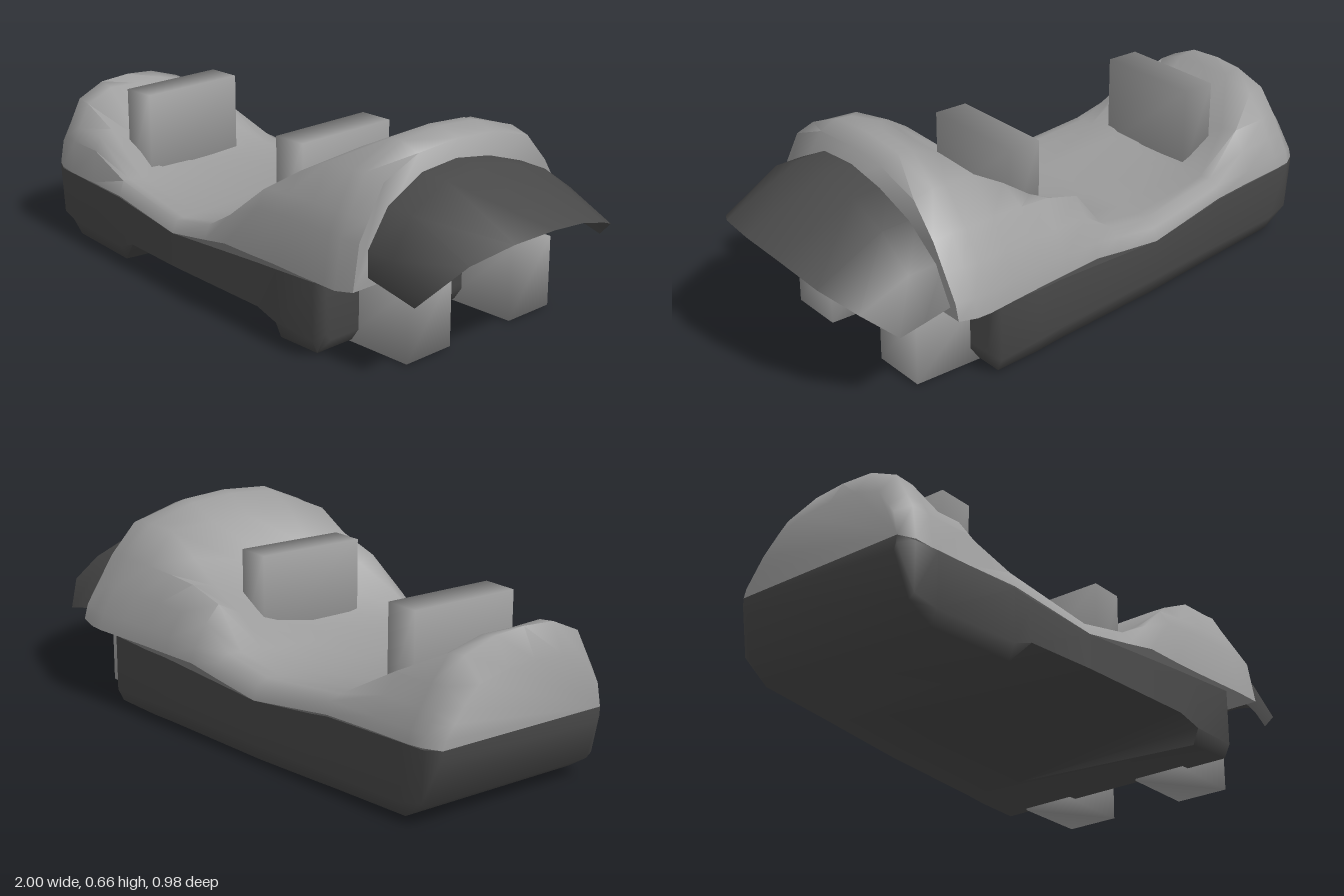
import * as THREE from 'three';
import { mergeVertices, toCreasedNormals } from 'three/addons/utils/BufferGeometryUtils.js';

const light = new THREE.MeshStandardMaterial({ color: 0x9c9c9c });
const dark = new THREE.MeshStandardMaterial({ color: 0x494949 });
const darkThin = new THREE.MeshStandardMaterial({ color: 0x494949, side: THREE.DoubleSide });

// Skin a row of cross-sections running along +x; each goes from +z over the top to -z
function loft(rings, closed) {
  const n = rings[0].length, pos = rings.flat(2), idx = [];
  for (let i = 0; i < rings.length - 1; i++) {
    for (let j = 0; j < (closed ? n : n - 1); j++) {
      const k = (j + 1) % n;
      const a = i * n + j, b = (i + 1) * n + j, c = (i + 1) * n + k, d = i * n + k;
      idx.push(a, b, c, a, c, d);
    }
  }
  if (closed) {
    const last = (rings.length - 1) * n;
    for (let j = 1; j < n - 1; j++) {
      idx.push(0, j, j + 1);
      idx.push(last, last + j + 1, last + j);
    }
  }
  const g = new THREE.BufferGeometry();
  g.setAttribute('position', new THREE.Float32BufferAttribute(pos, 3));
  g.setIndex(idx);
  return toCreasedNormals(g, 1.25);
}

// Box with normals shared across its corners
function softBox(x0, x1, y0, y1, z0, z1) {
  let g = new THREE.BoxGeometry(x1 - x0, y1 - y0, z1 - z0);
  g.deleteAttribute('normal');
  g.deleteAttribute('uv');
  g = mergeVertices(g);
  g.computeVertexNormals();
  return g.translate((x0 + x1) / 2, (y0 + y1) / 2, (z0 + z1) / 2);
}

export function createModel() {
  const group = new THREE.Group();
  const add = (name, geometry, material) => {
    const m = new THREE.Mesh(geometry, material);
    m.name = name;
    group.add(m);
  };

  // Upper shell: a long arch cut away between its two humps by a slightly hollow saddle
  const arch = [[1, 0], [0.95, 0.39], [0.88, 0.54], [0.75, 0.82], [0.45, 0.975], [0.1, 1],
    [-0.22, 0.97], [-0.57, 0.84], [-0.76, 0.57], [-0.87, 0.345], [-0.97, 0.14], [-1, 0]];
  // x, back z, front z, bottom y, arch height, saddle y at back, at front, hollow depth
  const shell = [
    [-1, -0.27, 0.34, 0.245, 0.2, 1, 1, 0],
    [-0.95, -0.3, 0.365, 0.245, 0.287, 1, 1, 0],
    [-0.89, -0.305, 0.372, 0.24, 0.285, 0.53, 0.53, 0.02],
    [-0.75, -0.32, 0.385, 0.24, 0.285, 0.445, 0.435, 0.1],
    [-0.57, -0.345, 0.405, 0.24, 0.285, 0.295, 0.29, 0.015],
    [-0.25, -0.385, 0.435, 0.2, 0.31, 0.265, 0.24, 0],
    [-0.07, -0.41, 0.45, 0.23, 0.33, 0.3, 0.275, 0.01],
    [0.04, -0.425, 0.46, 0.25, 0.35, 0.46, 0.335, 0.09],
    [0.17, -0.44, 0.465, 0.25, 0.375, 0.515, 0.445, 0.1],
    [0.28, -0.455, 0.47, 0.252, 0.39, 0.565, 0.535, 0.07],
    [0.4, -0.472, 0.48, 0.253, 0.4, 0.615, 0.605, 0.015],
    [0.51, -0.49, 0.488, 0.255, 0.4, 1, 1, 0],
    [0.56, -0.49, 0.49, 0.255, 0.405, 1, 1, 0],
    [0.625, -0.485, 0.48, 0.265, 0.37, 1, 1, 0],
  ];
  add('upperShell', loft(shell.map(([x, z0, z1, y, h, back, front, dip]) => arch.map(([u, v]) => {
    const saddle = (back + front) / 2 + (u * (front - back)) / 2 - dip * Math.max(0, 1 - (u / 0.85) ** 2);
    return [x, Math.min(y + h * v, saddle), (z0 + z1) / 2 + (u * (z1 - z0)) / 2];
  })), true), light);

  // Base: bevelled tray with a sloping cut under the middle of its front side
  // x, back z, front z, top y, back bevel y, front bevel y, bottom y, front bevel width
  const base = [
    [-1, -0.27, 0.34, 0.245, 0.22, 0.22, 0.2, 0.01],
    [-0.95, -0.3, 0.365, 0.24, 0.08, 0.08, 0.065, 0.02],
    [-0.87, -0.31, 0.375, 0.24, 0.06, 0.06, 0.012, 0.02],
    [-0.57, -0.345, 0.405, 0.235, 0.06, 0.06, 0.008, 0.02],
    [-0.5, -0.353, 0.41, 0.225, 0.06, 0.085, 0.006, 0.55],
    [-0.25, -0.385, 0.435, 0.2, 0.06, 0.085, 0.003, 0.6],
    [0.19, -0.43, 0.46, 0.23, 0.06, 0.085, 0.005, 0.64],
    [0.28, -0.445, 0.465, 0.235, 0.06, 0.06, 0.007, 0.02],
    [0.45, -0.462, 0.474, 0.245, 0.055, 0.055, 0.012, 0.02],
    [0.48, -0.435, 0.447, 0.245, 0.08, 0.08, 0.055, 0.02],
  ];
  add('base', loft(base.map(([x, z0, z1, top, backSide, frontSide, low, cut]) => [
    [x, low, z1 - cut], [x, frontSide, z1], [x, top, z1],
    [x, top, z0], [x, backSide, z0], [x, low, z0 + 0.02],
  ]), true), dark);

  // Visor: thin hood sloping down to a rounded rim
  // z, height at the shell, rim x, rim y, rim z
  const hood = [
    [0.42, 0.3, 0.8, 0.25, 0.41], [0.42, 0.38, 0.86, 0.305, 0.41],
    [0.34, 0.495, 0.92, 0.385, 0.32], [0.2, 0.565, 0.98, 0.435, 0.2],
    [0.05, 0.575, 1, 0.445, 0.05], [-0.1, 0.55, 0.985, 0.425, -0.1],
    [-0.25, 0.5, 0.95, 0.38, -0.25], [-0.38, 0.41, 0.89, 0.33, -0.37],
    [-0.445, 0.3, 0.8, 0.255, -0.44],
  ];
  add('visor', loft([
    hood.map(([z, y]) => [0.6, y, z]),
    hood.map(([z, y], i) => [0.72, i % 8 ? y - 0.005 : 0.275, z]),
    hood.map(([, , x, y, z]) => [x, y, z]),
  ], false), darkThin);

  // Two upright tabs
  for (const x of [-0.655, 0.105]) add('uprightTab', softBox(x - 0.06, x + 0.06, 0.23, 0.555, -0.14, 0.245), light);

  // Two pegs at the end of the base
  for (const z of [0.215, -0.25]) add('endPeg', softBox(0.42, 0.68, 0.005, 0.24, z - 0.095, z + 0.095), light);

  return group;
}
